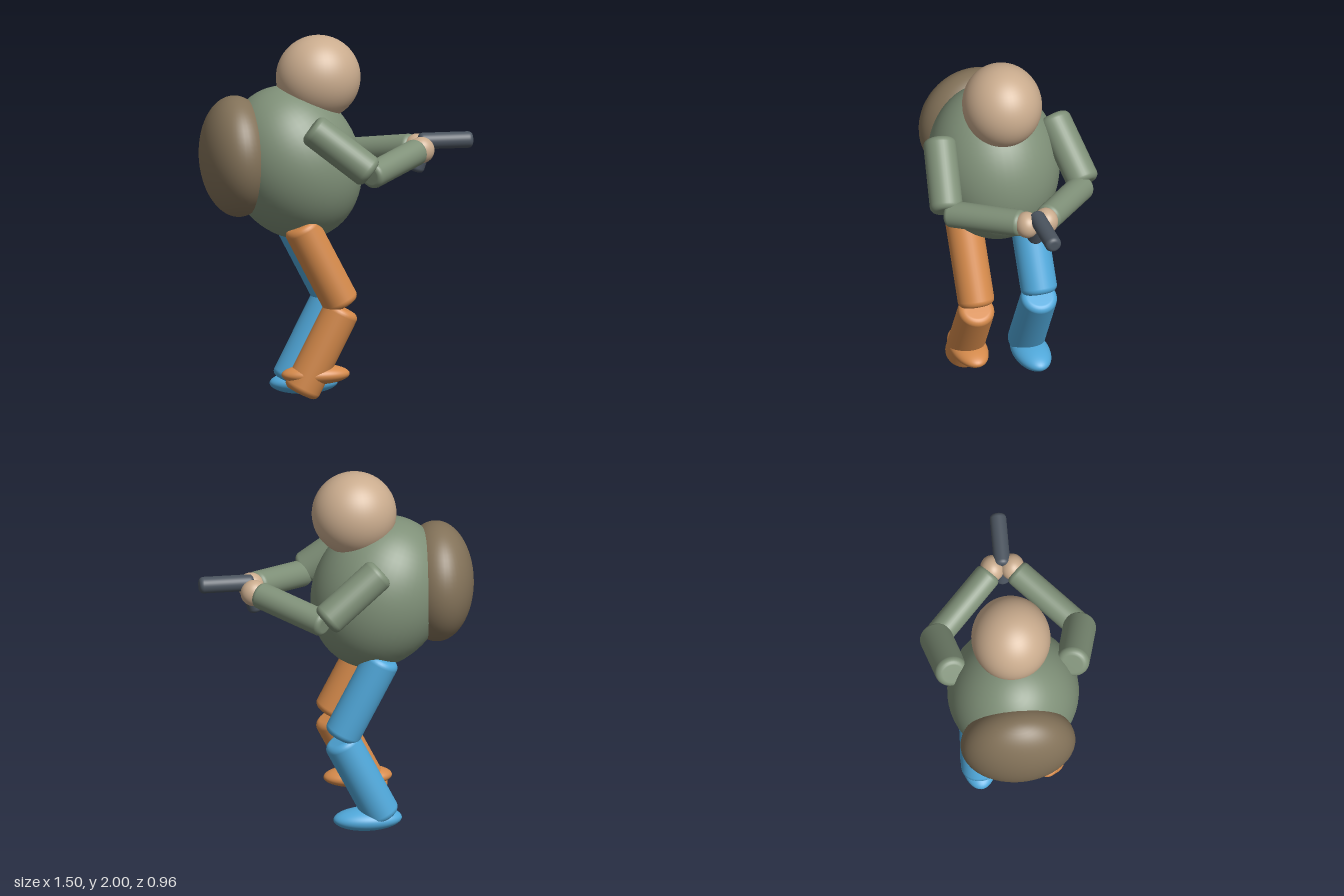
import * as THREE from 'three';

const material = (name, color) => {
  const m = new THREE.MeshStandardMaterial({ color });
  m.name = name;
  return m;
};

export function createModel() {
  const model = new THREE.Group();
  model.name = 'crouchingFigure';

  const green = material('sage green', 0x7f9078);
  const skin = material('skin tan', 0xcaac8e);
  const brown = material('pack brown', 0x837259);
  const orange = material('leg orange', 0xd58a4b);
  const blue = material('leg blue', 0x50a8da);
  const steel = material('dark steel', 0x4b545f);

  const add = (name, geometry, mat, parent = model) => {
    const mesh = new THREE.Mesh(geometry, mat);
    mesh.name = name;
    parent.add(mesh);
    return mesh;
  };

  const ellipsoid = (name, center, radii, mat, parent) => {
    const mesh = add(name, new THREE.SphereGeometry(1, 48, 32), mat, parent);
    mesh.position.set(...center);
    mesh.scale.set(...radii);
    return mesh;
  };

  // Round bar from a to b whose end edges are softened by radius e
  const limb = (name, a, b, r, e, mat, parent) => {
    const start = new THREE.Vector3(...a);
    const end = new THREE.Vector3(...b);
    const half = start.distanceTo(end) / 2;
    const profile = [new THREE.Vector2(0, -half)];
    for (const side of [-1, 1]) {
      for (let i = 0; i <= 6; i++) {
        const t = ((side < 0 ? i - 6 : i) / 6) * (Math.PI / 2);
        profile.push(new THREE.Vector2(
          r - e + e * Math.cos(t),
          side * (half - e) + e * Math.sin(t),
        ));
      }
    }
    profile.push(new THREE.Vector2(0, half));
    const mesh = add(name, new THREE.LatheGeometry(profile, 36), mat, parent);
    mesh.position.copy(start).add(end).multiplyScalar(0.5);
    mesh.quaternion.setFromUnitVectors(
      new THREE.Vector3(0, 1, 0),
      end.sub(start).normalize(),
    );
    return mesh;
  };

  // Head, leaning torso and backpack
  ellipsoid('head', [-0.1, 1.77, 0], [0.23, 0.23, 0.215], skin);
  const torso = ellipsoid('torso', [-0.237, 1.307, 0], [0.362, 0.43, 0.357], green);
  torso.rotation.z = THREE.MathUtils.degToRad(23);
  const pack = ellipsoid('backpack', [-0.55, 1.35, 0], [0.2, 0.33, 0.312], brown);
  pack.rotation.z = THREE.MathUtils.degToRad(2);

  // Arms and legs, mirrored across z; the near foot is raised
  for (const side of [1, -1]) {
    const arm = new THREE.Group();
    arm.name = side > 0 ? 'nearArm' : 'farArm';
    model.add(arm);
    limb('upperArm', [-0.2, 1.552, 0.325 * side], [0.12, 1.3, 0.395 * side], 0.09, 0.035, green, arm);
    limb('forearm', [0.115, 1.285, 0.388 * side], [0.435, 1.357, 0.068 * side], 0.073, 0.028, green, arm);
    ellipsoid('hand', [0.457, 1.36, 0.055 * side], [0.072, 0.072, 0.065], skin, arm);

    const color = side > 0 ? orange : blue;
    const z = 0.18 * side;
    const leg = new THREE.Group();
    leg.name = side > 0 ? 'nearLeg' : 'farLeg';
    model.add(leg);
    limb('thigh', [-0.233, 0.995, z], [0.001, 0.543, z], 0.1, 0.035, color, leg);
    limb('shin', [0.002, 0.531, z], [-0.233, 0.068, z], 0.1, 0.035, color, leg);
    ellipsoid('foot', [-0.147, side > 0 ? 0.17 : 0.062, z], [0.187, side > 0 ? 0.055 : 0.062, 0.1], color, leg);
  }

  // Held pistol
  const pistol = new THREE.Group();
  pistol.name = 'pistol';
  model.add(pistol);
  limb('barrel', [0.45, 1.4, 0], [0.75, 1.4, 0], 0.045, 0.025, steel, pistol);
  limb('grip', [0.485, 1.39, 0], [0.432, 1.235, 0], 0.045, 0.025, steel, pistol);

  return model;
}
